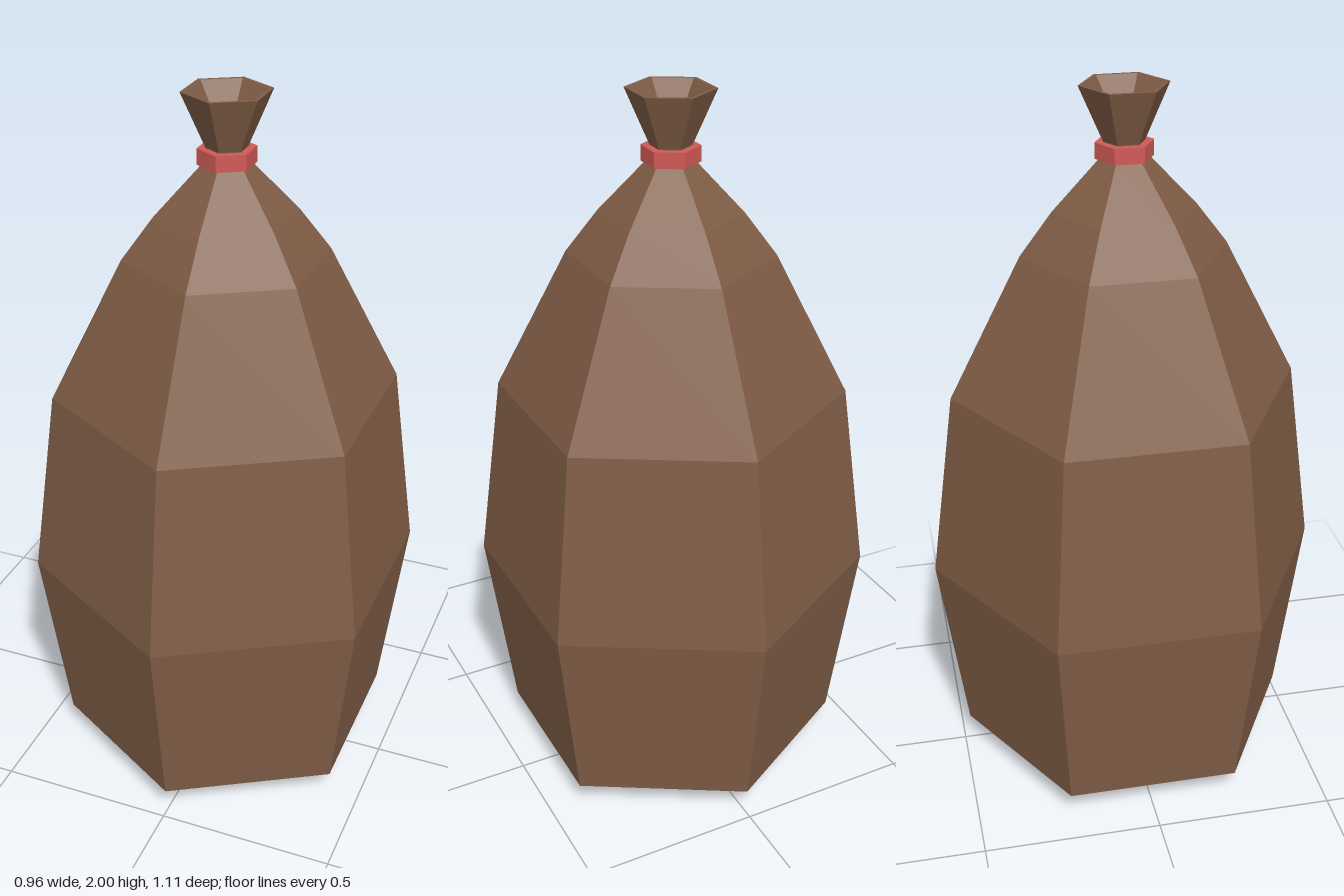
import * as THREE from 'three';

const SIDES = 6;

// Six-sided faceted body of revolution from [radius, height] pairs
function facetedLathe(name, profile, color) {
  const points = profile.map(([r, y]) => new THREE.Vector2(r, y));
  const material = new THREE.MeshStandardMaterial({ color, flatShading: true });
  const mesh = new THREE.Mesh(new THREE.LatheGeometry(points, SIDES), material);
  mesh.name = name;
  return mesh;
}

export function createModel() {
  const group = new THREE.Group();
  group.name = 'tiedSack';
  const brown = 0x805d46;

  // Bulging sack, from the centre of its base up to the tied neck
  group.add(facetedLathe('sackBody', [
    [0, 0], [0.28, 0.02], [0.482, 0.08], [0.556, 0.625], [0.482, 1.165],
    [0.28, 1.56], [0.193, 1.675], [0.066, 1.81], [0.055, 1.835],
  ], brown));

  // Flared mouth with a thin rim and a hollow funnel inside
  group.add(facetedLathe('sackMouth', [
    [0.055, 1.83], [0.056, 1.855], [0.119, 2], [0.108, 2], [0, 1.85],
  ], brown));

  // Band tied round the neck
  group.add(facetedLathe('neckBand', [
    [0.05, 1.81], [0.078, 1.81], [0.078, 1.853], [0.05, 1.853],
  ], 0xd05a56));

  return group;
}
